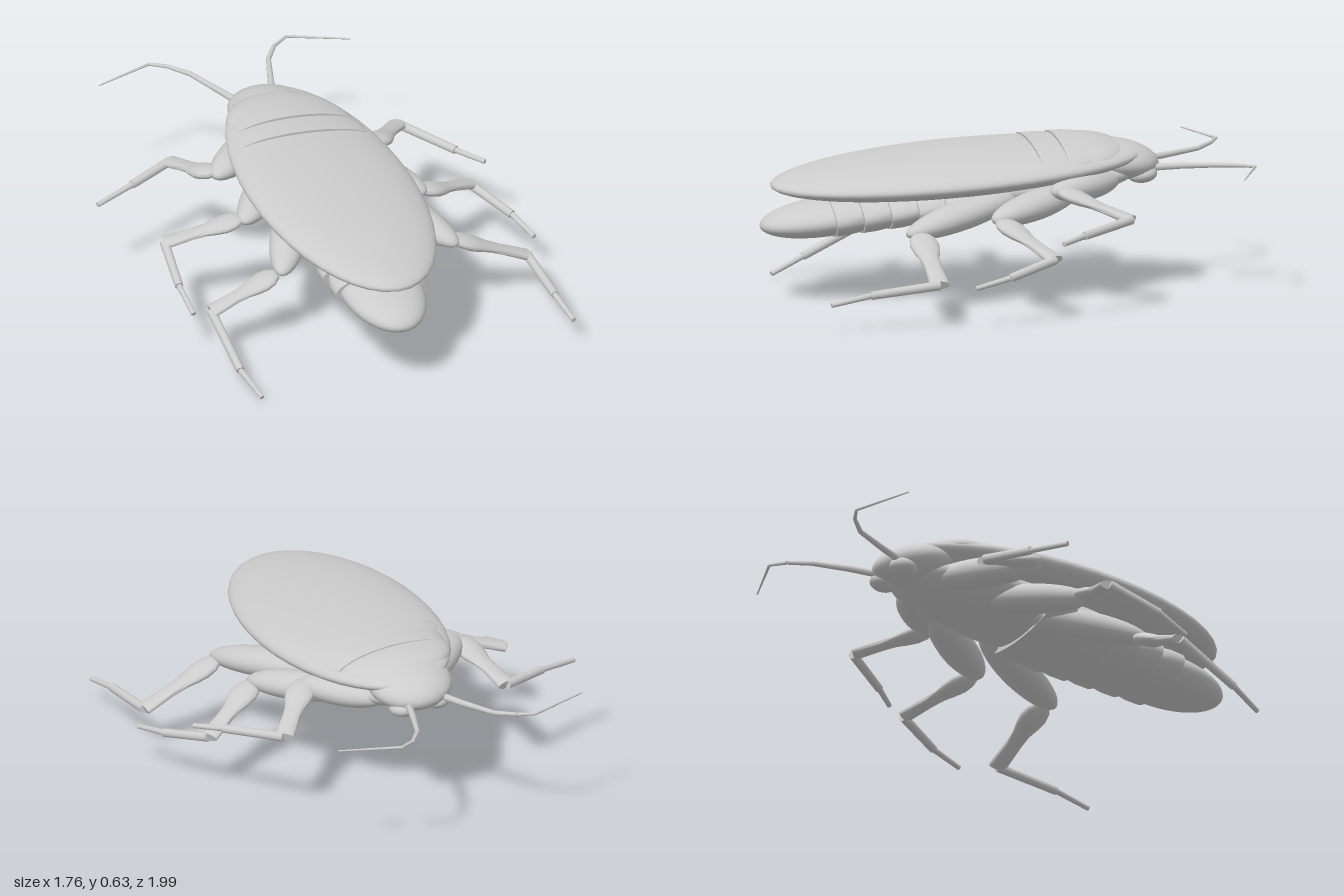
import * as THREE from 'three';
import { toCreasedNormals } from 'three/addons/utils/BufferGeometryUtils.js';

const material = new THREE.MeshStandardMaterial({ color: 0xcccccc });
const UP = new THREE.Vector3(0, 1, 0);
const vec = (p) => new THREE.Vector3(...p);

function add(parent, name, geometry) {
  const mesh = new THREE.Mesh(geometry, material);
  mesh.name = name;
  parent.add(mesh);
  return mesh;
}

function ellipsoid(parent, name, center, radii) {
  const mesh = add(parent, name, new THREE.SphereGeometry(1, 40, 28));
  mesh.position.set(...center);
  mesh.scale.set(...radii);
  return mesh;
}

// Places a mesh so its y axis runs from a to b, its x axis level and its z axis facing upward
function align(mesh, a, b) {
  const along = b.clone().sub(a).normalize();
  const level = along.clone().cross(UP).normalize();
  const basis = new THREE.Matrix4().makeBasis(level, along, level.clone().cross(along));
  mesh.position.copy(a).add(b).multiplyScalar(0.5);
  mesh.quaternion.setFromRotationMatrix(basis);
  return mesh;
}

function rod(parent, name, from, to, r0, r1, sides = 16) {
  const a = vec(from), b = vec(to);
  const geometry = new THREE.CylinderGeometry(r1, r0, a.distanceTo(b), sides);
  return align(add(parent, name, geometry), a, b);
}

function pod(parent, name, from, to, width, thickness) {
  const a = vec(from), b = vec(to);
  const mesh = align(add(parent, name, new THREE.SphereGeometry(1, 24, 18)), a, b);
  mesh.scale.set(width, a.distanceTo(b) / 2, thickness);
  return mesh;
}

// Flat closed band along z, between z0 and z1, with half widths w0 and w1
function band(parent, name, z0, z1, w0, w1, flatness, y = 0) {
  const mid = (w0 + w1) / 2 + 0.006;
  const profile = [[0, z0], [w0, z0], [mid, (z0 + z1) / 2], [w1, z1], [0, z1]];
  const lathe = new THREE.LatheGeometry(profile.map((p) => new THREE.Vector2(...p)), 48);
  lathe.rotateX(Math.PI / 2).scale(1, flatness, 1).translate(0, y, 0);
  return add(parent, name, toCreasedNormals(lathe, 0.6));
}

function tilted(parent, name, position, pitch, yaw, roll) {
  const group = new THREE.Group();
  group.name = name;
  group.position.set(...position);
  group.rotation.set(pitch, yaw, roll, 'YXZ');
  parent.add(group);
  return group;
}

// Joints of each leg: hip, coxa end, femur base, knee, tibia end, foot tip
const LEGS = {
  leftFrontLeg: [[0.0, 0.46, -0.44], [0.28, 0.45, -0.17], [0.28, 0.45, -0.22], [0.43, 0.365, -0.47], [0.62, 0.335, -0.27], [0.72, 0.32, -0.18]],
  leftMiddleLeg: [[0.08, 0.43, -0.28], [0.42, 0.365, 0.08], [0.43, 0.35, 0.03], [0.65, 0.245, -0.15], [0.78, 0.195, 0.04], [0.84, 0.165, 0.18]],
  leftHindLeg: [[0.15, 0.42, -0.03], [0.47, 0.32, 0.43], [0.49, 0.305, 0.37], [0.78, 0.17, 0.32], [0.83, 0.14, 0.6], [0.87, 0.11, 0.76]],
  rightFrontLeg: [[-0.12, 0.47, -0.4], [-0.42, 0.485, -0.03], [-0.43, 0.48, -0.08], [-0.54, 0.4, -0.33], [-0.72, 0.385, -0.21], [-0.88, 0.365, -0.12]],
  rightMiddleLeg: [[-0.09, 0.44, -0.2], [-0.36, 0.41, 0.22], [-0.39, 0.4, 0.18], [-0.67, 0.325, 0.16], [-0.66, 0.25, 0.38], [-0.63, 0.19, 0.51]],
  rightHindLeg: [[-0.08, 0.43, 0.0], [-0.27, 0.325, 0.51], [-0.31, 0.295, 0.47], [-0.56, 0.2, 0.52], [-0.5, 0.07, 0.78], [-0.44, 0.01, 0.91]],
};

function buildLeg(parent, name, [hip, coxaEnd, base, knee, ankle, tip]) {
  const leg = new THREE.Group();
  leg.name = name;
  parent.add(leg);
  pod(leg, 'coxa', hip, coxaEnd, 0.078, 0.058);
  // Flattened thigh, swollen at the base, then narrowing and flaring to a flat knee
  const a = vec(base), b = vec(knee);
  const length = a.distanceTo(b);
  const shape = [[0, -0.14], [0.032, -0.11], [0.053, 0], [0.06, 0.13], [0.053, 0.27], [0.04, 0.42], [0.037, 0.6], [0.041, 1]];
  const points = shape.map(([r, t]) => new THREE.Vector2(r, (t - 0.5) * length));
  points.push(new THREE.Vector2(0, length / 2));
  const femur = add(leg, 'femur', toCreasedNormals(new THREE.LatheGeometry(points, 24), 0.9));
  align(femur, a, b).scale.z = 0.45;
  rod(leg, 'tibia', knee, ankle, 0.019, 0.017);
  rod(leg, 'foot', ankle, tip, 0.012, 0.01);
}

export function createModel() {
  const model = new THREE.Group();
  model.name = 'insect';

  // Long flat wing case with an overlapping shield near the head
  const back = tilted(model, 'back', [0.002, 0.51, 0.2], 0.066, 0.14, -0.08);
  ellipsoid(back, 'wingCase', [0, 0, 0], [0.35, 0.08, 0.76]);
  ellipsoid(back, 'frontShield', [-0.01, 0.01, -0.48], [0.245, 0.066, 0.21]);
  band(back, 'shieldPlate1', -0.51, -0.41, 0.24, 0.265, 0.295, 0.01);
  band(back, 'shieldPlate2', -0.41, -0.3, 0.272, 0.295, 0.25, 0.01);

  // Abdomen of stepped rings ending in a rounded tail
  const abdomen = tilted(model, 'abdomen', [0.087, 0.337, 0.72], 0.13, 0.13, -0.05);
  ellipsoid(abdomen, 'tail', [0, 0, 0], [0.168, 0.074, 0.28]);
  for (let i = 0; i < 6; i++) {
    const w = 0.186 + 0.015 * i;
    band(abdomen, 'abdomenRing' + (i + 1), -0.11 * (i + 1), -0.11 * i, w - 0.004, w + 0.004, 0.41 - 0.024 * i);
  }

  // Chest, head and eyes
  const front = tilted(model, 'thorax', [-0.05, 0.475, -0.14], 0.08, 0.13, -0.06);
  ellipsoid(front, 'chest', [0.01, -0.015, 0.1], [0.23, 0.085, 0.5]);
  ellipsoid(front, 'head', [-0.015, 0.025, -0.3], [0.17, 0.078, 0.185]).rotation.x = -0.2;
  for (const side of [-1, 1]) {
    ellipsoid(front, side > 0 ? 'leftEye' : 'rightEye', [side * 0.075 - 0.01, -0.035, -0.4], [0.052, 0.035, 0.06]);
  }

  // Jointed antennae that thin toward the tip
  const antennae = {
    leftAntenna: [[-0.06, 0.49, -0.56], [-0.04, 0.5, -0.7], [-0.015, 0.505, -0.85], [0.03, 0.51, -0.94], [0.09, 0.515, -0.99], [0.34, 0.505, -0.93]],
    rightAntenna: [[-0.2, 0.5, -0.55], [-0.26, 0.505, -0.65], [-0.35, 0.515, -0.79], [-0.43, 0.525, -0.85], [-0.5, 0.53, -0.875], [-0.73, 0.535, -0.75]],
  };
  const radii = [0.015, 0.013, 0.01, 0.008, 0.006, 0.003];
  for (const [name, path] of Object.entries(antennae)) {
    const antenna = new THREE.Group();
    antenna.name = name;
    model.add(antenna);
    for (let i = 0; i < path.length - 1; i++) {
      rod(antenna, 'antennaSegment' + (i + 1), path[i], path[i + 1], radii[i], radii[i + 1], 10);
    }
  }

  for (const [name, joints] of Object.entries(LEGS)) buildLeg(model, name, joints);
  return model;
}
